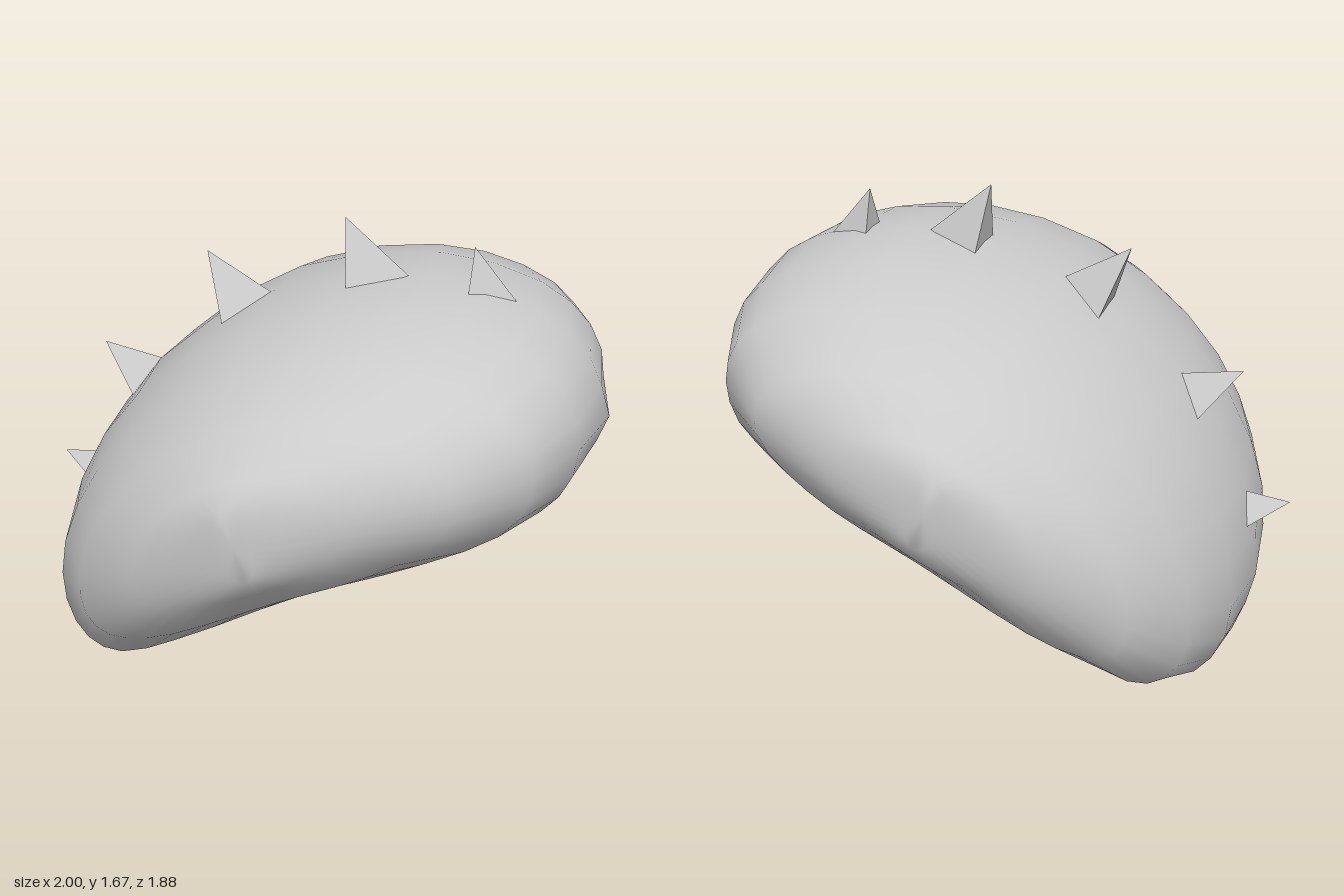
import * as THREE from 'three';

const material = new THREE.MeshStandardMaterial({ color: 0xcccccc });

// Bean profile as pairs: upper x, upper y, lower x, lower y, from the low end to the high end
const stations = [
  [-0.83, 0.09, -0.83, 0.09], [-0.90, 0.33, -0.70, 0.00], [-0.84, 0.68, -0.55, 0.03],
  [-0.60, 1.07, -0.28, 0.20], [-0.17, 1.38, 0.14, 0.46], [0.37, 1.49, 0.44, 0.59],
  [0.74, 1.41, 0.78, 0.75], [0.92, 1.27, 0.92, 0.87], [1.00, 1.06, 1.00, 1.06],
];
const curveOf = (k) => new THREE.CatmullRomCurve3(
  stations.map((s) => new THREE.Vector3(s[k], s[k + 1], 0)));

// Domed shell: bean-shaped sections that shrink along the spine towards both sides
function shellGeometry() {
  const upper = curveOf(0), lower = curveOf(2);
  const around = 32, across = 10, halfWidth = 0.94;
  const positions = [], index = [];

  const section = (phi, collapse) => {
    const length = Math.max(0.05, Math.cos(phi));
    const thick = Math.sqrt(0.07 + 0.93 * Math.cos(phi) ** 2);
    for (let j = 0; j < around; j++) {
      const theta = (j / around) * Math.PI * 2;
      const along = THREE.MathUtils.clamp(-Math.cos(theta) * length * collapse, -1, 1);
      const angle = Math.acos(-along);
      const u = upper.getPoint(angle / Math.PI);
      const l = lower.getPoint(angle / Math.PI);
      const middle = u.clone().add(l).multiplyScalar(0.5);
      const v = thick * collapse * Math.sin(theta) / Math.max(1e-3, Math.sin(angle));
      const p = middle.addScaledVector(u.sub(l), 0.5 * v);
      positions.push(p.x, p.y, halfWidth * Math.sin(phi));
    }
  };

  section(-Math.PI / 2, 0);
  for (let i = 0; i <= across; i++) section((i / across - 0.5) * Math.PI, 1);
  section(Math.PI / 2, 0);

  for (let i = 0; i < across + 2; i++) {
    for (let j = 0; j < around; j++) {
      const k = (j + 1) % around;
      const a = i * around + j, b = a + around;
      const c = i * around + k, d = c + around;
      index.push(a, b, c, b, d, c);
    }
  }
  const geometry = new THREE.BufferGeometry();
  geometry.setAttribute('position', new THREE.Float32BufferAttribute(positions, 3));
  geometry.setIndex(index);
  geometry.computeVertexNormals();
  return geometry;
}

// Three-sided spike: tip, ridge foot on the centre line, and a pair of side feet
function spikeGeometry([tipX, tipY, footX, footY, sideX, sideY, halfWidth]) {
  const tip = [tipX, tipY, 0], foot = [footX, footY, 0];
  const near = [sideX, sideY, halfWidth], far = [sideX, sideY, -halfWidth];
  const faces = [tip, near, foot, tip, foot, far, tip, far, near, foot, near, far];
  const geometry = new THREE.BufferGeometry();
  geometry.setAttribute('position', new THREE.Float32BufferAttribute(faces.flat(), 3));
  geometry.computeVertexNormals();
  return geometry;
}

const spikes = [
  [-1.00, 0.64, -0.83, 0.66, -0.86, 0.55, 0.07],
  [-0.81, 1.11, -0.59, 1.07, -0.67, 0.94, 0.095],
  [-0.41, 1.50, -0.18, 1.37, -0.32, 1.25, 0.115],
  [0.08, 1.67, 0.30, 1.485, 0.11, 1.43, 0.105],
  [0.52, 1.61, 0.67, 1.43, 0.515, 1.45, 0.07],
];

export function createModel() {
  const model = new THREE.Group();
  model.name = 'spikedShell';

  const shell = new THREE.Mesh(shellGeometry(), material);
  shell.name = 'shell';
  model.add(shell);

  // Row of spikes along the centre line
  const row = new THREE.Group();
  row.name = 'spikeRow';
  spikes.forEach((data, i) => {
    const spike = new THREE.Mesh(spikeGeometry(data), material);
    spike.name = `spike${i + 1}`;
    row.add(spike);
  });
  model.add(row);
  return model;
}
